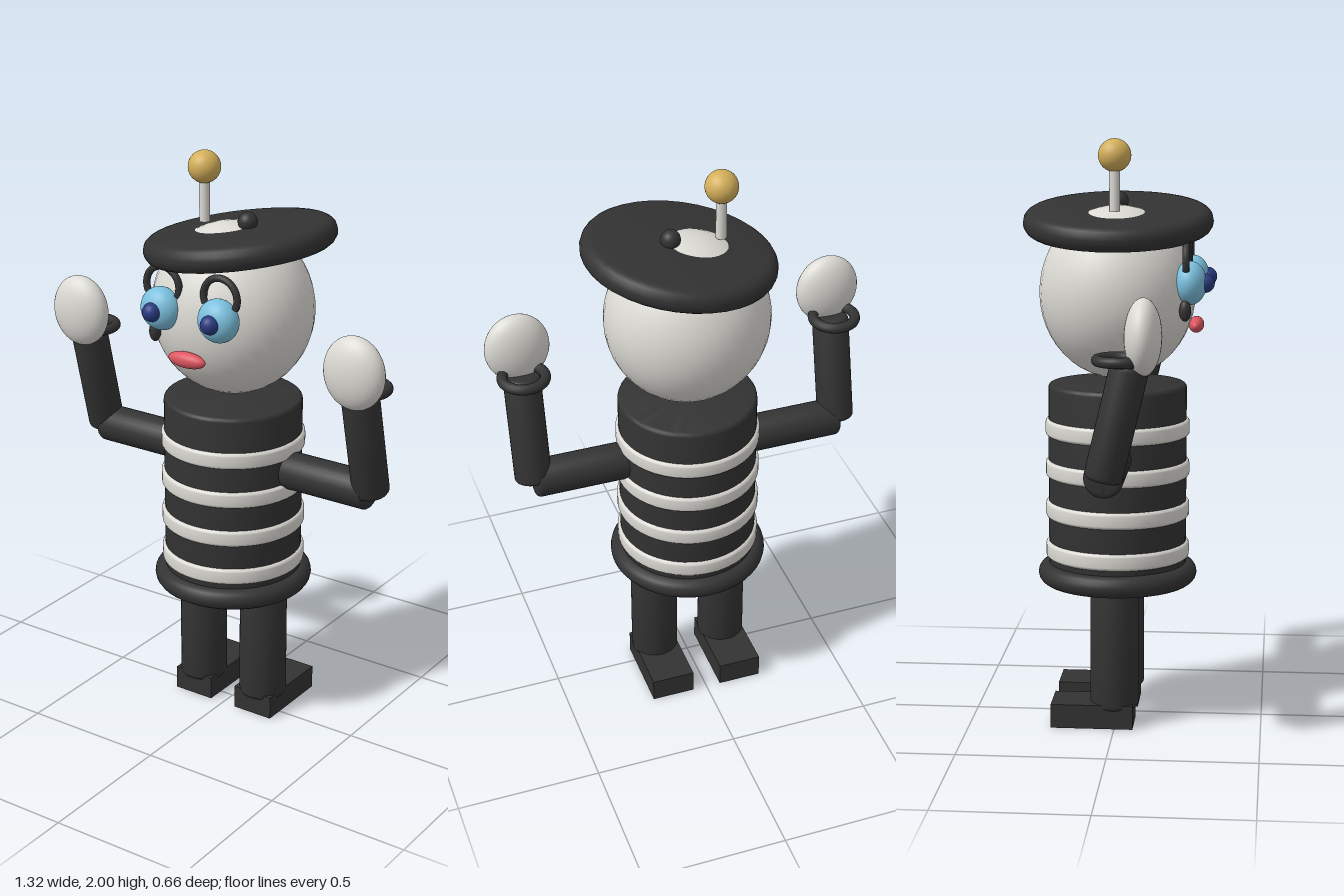
import * as THREE from 'three';
import { toCreasedNormals } from 'three/addons/utils/BufferGeometryUtils.js';

const paint = (name, color) => {
  const m = new THREE.MeshStandardMaterial({ color });
  m.name = name;
  return m;
};

// Upright cylinder with rounded rims, centred on its own middle
function roundedCylinder(radius, height, bevel, segments = 36) {
  const pts = [new THREE.Vector2(0, -height / 2)];
  const steps = 4;
  for (const end of [0, 1]) {
    for (let i = 0; i <= steps; i++) {
      const a = (end - 1 + i / steps) * Math.PI / 2;
      pts.push(new THREE.Vector2(
        radius - bevel + bevel * Math.cos(a),
        (end ? 1 : -1) * (height / 2 - bevel) + bevel * Math.sin(a)));
    }
  }
  pts.push(new THREE.Vector2(0, height / 2));
  return toCreasedNormals(new THREE.LatheGeometry(pts, segments), 0.6);
}

export function createModel() {
  const black = paint('black', 0x333333);
  const white = paint('off white', 0xdcdad4);
  const gold = paint('gold', 0xd4af5a);
  const blue = paint('light blue', 0x7cc0de);
  const navy = paint('navy', 0x2a3a80);
  const red = paint('red', 0xdc5560);

  const model = new THREE.Group();
  const body = new THREE.Group();
  body.name = 'body';
  body.position.z = -0.004;
  model.add(body);

  const add = (name, geometry, material, x, y, z) => {
    const mesh = new THREE.Mesh(geometry, material);
    mesh.name = name;
    mesh.position.set(x, y, z);
    body.add(mesh);
    return mesh;
  };
  const ellipsoid = (name, material, x, y, z, rx, ry = rx, rz = rx) => {
    const mesh = add(name, new THREE.SphereGeometry(1, 36, 24), material, x, y, z);
    mesh.scale.set(rx, ry, rz);
    return mesh;
  };

  // Torso with striped shirt and hem roll
  add('torso', roundedCylinder(0.237, 0.665, 0.015, 48), black, 0, 0.838, 0);
  for (let i = 0; i < 4; i++) {
    add('shirtStripe', roundedCylinder(0.247, 0.058, 0.012, 48), white, 0, 1.02 - i * 0.142, 0);
  }
  add('hem', new THREE.TorusGeometry(0.237, 0.037, 16, 48), black, 0, 0.51, 0).rotation.x = Math.PI / 2;

  // Head, mouth and tear
  ellipsoid('head', white, 0, 1.482, 0, 0.279, 0.293, 0.265);
  ellipsoid('mouth', red, 0, 1.373, 0.268, 0.072, 0.027, 0.026);
  ellipsoid('tear', black, -0.15, 1.436, 0.237, 0.02, 0.036, 0.02);

  // Tilted flat cap with its button
  add('cap', roundedCylinder(0.323, 0.084, 0.04, 36), black, 0.028, 1.72, 0).rotation.z = 0.15;
  ellipsoid('capButton', black, 0.057, 1.785, 0, 0.033);

  // Antenna
  add('antennaRod', new THREE.CylinderGeometry(0.018, 0.018, 0.16, 20), white, -0.115, 1.84, 0);
  ellipsoid('antennaBall', gold, -0.115, 1.945, 0, 0.055);

  for (const s of [-1, 1]) {
    // Eye, pupil and arched brow
    ellipsoid('eye', blue, s * 0.114, 1.525, 0.251, 0.073, 0.073, 0.056);
    ellipsoid('pupil', navy, s * 0.115, 1.525, 0.301, 0.032);
    const browArc = Math.PI + 0.9;
    add('brow', new THREE.TorusGeometry(0.065, 0.012, 12, 32, browArc), black, s * 0.114, 1.6, 0.24)
      .rotation.z = -0.45;

    // Arm, cuff and hand
    add('upperArm', roundedCylinder(0.065, 0.38, 0.015, 28), black, s * 0.36, 0.945, 0)
      .rotation.z = Math.PI / 2;
    add('forearm', roundedCylinder(0.063, 0.38, 0.015, 28), black, s * 0.55, 1.127, 0.042)
      .rotation.x = 0.232;
    add('cuff', new THREE.TorusGeometry(0.072, 0.018, 12, 32), black, s * 0.55, 1.327, 0.053)
      .rotation.x = Math.PI / 2;
    ellipsoid('hand', white, s * 0.55, 1.4, 0.126, 0.11, 0.124, 0.06);

    // Leg and foot
    add('leg', roundedCylinder(0.083, 0.42, 0.015, 28), black, s * 0.128, 0.272, 0);
    add('foot', new THREE.BoxGeometry(0.152, 0.083, 0.281), black, s * 0.127, 0.0415, -0.073);
  }
  return model;
}
